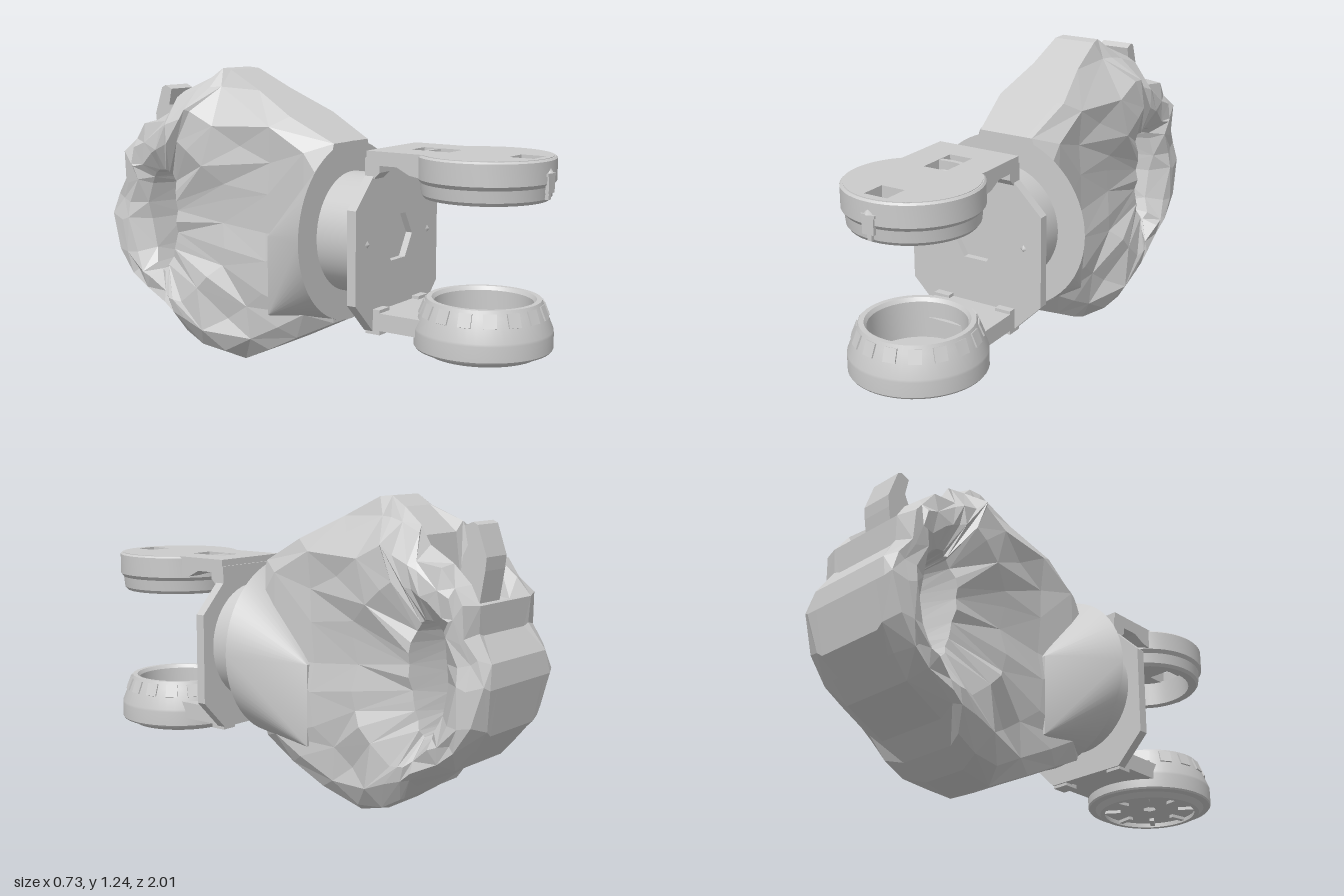
import * as THREE from 'three';
import { ConvexGeometry } from 'three/addons/geometries/ConvexGeometry.js';
import { toCreasedNormals } from 'three/addons/utils/BufferGeometryUtils.js';

const CY = 0.595; // height of the neck axis
const RZ = 0.7325; // z of the two round heads
const mat = new THREE.MeshStandardMaterial({ color: 0xcccccc, side: THREE.DoubleSide });
const flat = new THREE.MeshStandardMaterial({ color: 0xcccccc, flatShading: true });

function add(parent, name, geo, x = 0, y = 0, z = 0, material = mat) {
  const m = new THREE.Mesh(geo, material);
  m.name = name;
  m.position.set(x, y, z);
  parent.add(m);
  return m;
}
const box = (w, h, d) => new THREE.BoxGeometry(w, h, d);
const lathe = (pts, n = 48) =>
  toCreasedNormals(new THREE.LatheGeometry(pts.map(p => new THREE.Vector2(...p)), n), 0.4);
const poly = pts => pts.map(p => new THREE.Vector2(...p));
const hexPath = r => new THREE.Path(poly([0, 1, 2, 3, 4, 5].map(i =>
  [r * Math.cos((i * Math.PI) / 3), r * Math.sin((i * Math.PI) / 3)])));

// Faceted body: side outline and handle opening joined by rings, closed like a torus
function bodyGeometry() {
  let seed = 11;
  const rnd = () => ((seed = (seed * 16807) % 2147483647) / 2147483647) * 2 - 1;
  // z, y, crown half-width, depth of the cavity along the centre
  const outline = [
    [0.115, 0.96, 0.12, 0], [-0.08, 1.06, 0.15, 0], [-0.27, 1.155, 0.12, 0], [-0.43, 1.235, 0.095, 0],
    [-0.48, 1.24, 0.09, 0], [-0.54, 1.2, 0.1, 0], [-0.65, 1.14, 0.13, 0.04], [-0.69, 1.07, 0.14, 0.17],
    [-0.8, 1.01, 0.15, 0.14], [-0.88, 0.94, 0.16, 0.08], [-0.93, 0.87, 0.18, 0], [-0.925, 0.77, 0.18, 0.01],
    [-0.99, 0.67, 0.2, 0], [-1, 0.58, 0.21, 0], [-0.97, 0.42, 0.19, 0.02], [-0.9, 0.33, 0.17, 0],
    [-0.83, 0.25, 0.16, 0], [-0.66, 0.16, 0.15, 0], [-0.58, 0.09, 0.13, 0], [-0.49, 0.03, 0.11, 0],
    [-0.36, 0, 0.11, 0], [-0.2, 0.075, 0.14, 0], [-0.05, 0.15, 0.15, 0], [0.115, 0.23, 0.12, 0],
    [0.115, 0.4, 0.17, 0], [0.115, 0.59, 0.18, 0], [0.115, 0.78, 0.18, 0]
  ];
  const hz = -0.73, hy = 0.58;
  // Point on the opening's edge; it narrows toward its lower end
  const opening = (z, y, rz, ry) => {
    const a = Math.atan2(y - hy, z - hz);
    return [hy + ry * Math.sin(a), hz + rz * Math.cos(a) * (1 + 0.3 * Math.sin(a))];
  };
  const halfWidth = (y, z, t, crown) => {
    const back = THREE.MathUtils.smoothstep(-z, 0.36, 0.47);
    const full = 0.19 + back * 0.058;
    if (t === 1) return full - 0.05;
    return t < 0.2 ? Math.min(full, crown + (y > 1.05 ? 0.04 : 0.075)) : full;
  };
  const half = [0, 0.13, 0.38, 0.66, 1].map(t => outline.map(([z, y, crown]) => {
    const [ey, ez] = opening(z, y, 0.08, 0.225);
    const p = [crown, y + (ey - y) * t, z + (ez - z) * t];
    if (t > 0) p[0] = halfWidth(p[1], p[2], t, crown);
    if (p[2] < -0.12) p[0] += rnd() * 0.014;
    if (p[2] < -0.12 && t > 0 && t < 1) {
      p[1] += rnd() * 0.02;
      p[2] += rnd() * 0.015;
    }
    return p;
  }));
  const sunk = outline.map(([z, y, crown, dip]) => [crown * 0.8, y - dip, z + dip * 0.15]);
  const centreInner = outline.map(([z, y]) => [0, ...opening(z, y, 0.046, 0.21)]);
  const right = [sunk, ...half];
  const left = right.map(r => r.map(([x, y, z]) => [-x, y, z])).reverse();
  const rings = [...right, centreInner, ...left];
  const n = outline.length, pos = [];
  rings.forEach((ring, j) => {
    const next = rings[(j + 1) % rings.length];
    for (let i = 0; i < n; i++) {
      const k = (i + 1) % n;
      const [a, b, c, d] = [ring[i], next[i], next[k], ring[k]];
      if ((i + j) % 2) pos.push(...a, ...b, ...c, ...a, ...c, ...d);
      else pos.push(...a, ...b, ...d, ...b, ...c, ...d);
    }
  });
  const g = new THREE.BufferGeometry();
  g.setAttribute('position', new THREE.Float32BufferAttribute(pos, 3));
  g.computeVertexNormals();
  return g;
}

// Cone-like collar drawn back from a disc to an edge on each side of the body
function collarGeometry() {
  const pts = [];
  for (let i = 0; i < 64; i++) {
    const a = (i / 64) * Math.PI * 2;
    pts.push(new THREE.Vector3(0.367 * Math.cos(a), CY + 0.367 * Math.sin(a), 0.12));
  }
  for (const s of [-1, 1]) for (const y of [0.24, 0.57]) pts.push(new THREE.Vector3(s * 0.2, y, -0.16));
  return toCreasedNormals(new ConvexGeometry(pts), 0.4);
}

const rectHole = (w, z0, z1) => new THREE.Path(poly([[-w, -z0], [w, -z0], [w, -z1], [-w, -z1]]));

function upperHead() {
  const g = new THREE.Group();
  g.name = 'upperHead';
  // Round lid continuing into the arm, with two slots
  const lid = new THREE.Shape();
  const a = Math.asin(0.18 / 0.25);
  lid.moveTo(0.18, -0.31);
  lid.lineTo(-0.18, -0.31);
  lid.absarc(0, -RZ, 0.25, Math.PI / 2 + a, Math.PI * 2.5 - a, false);
  lid.closePath();
  lid.holes.push(rectHole(0.05, 0.43, 0.6), rectHole(0.05, 0.85, 0.95));
  const lidGeo = new THREE.ExtrudeGeometry(lid, { depth: 0.055, bevelEnabled: false, curveSegments: 40 });
  lidGeo.rotateX(-Math.PI / 2);
  add(g, 'lidAndArm', toCreasedNormals(lidGeo, 0.4), 0, 0.897, 0);
  add(g, 'upperRing', lathe([[0.235, 0.9], [0.235, 0.95], [0.255, 0.95], [0.262, 0.943], [0.262, 0.86],
    [0.25, 0.845], [0.245, 0.8], [0.235, 0.787], [0.2, 0.787], [0.2, 0.9]].reverse()), 0, 0, RZ);
  // Ramp inside the rear slot
  add(g, 'slotRamp', box(0.1, 0.01, 0.13), 0, 0.9, 0.53).rotation.x = 0.3;
  // Front latch
  add(g, 'latch', box(0.05, 0.07, 0.014), 0, 0.86, 0.993);
  add(g, 'latchCap', box(0.062, 0.012, 0.016), 0, 0.893, 0.992);
  add(g, 'latchTip', new THREE.ConeGeometry(0.022, 0.03, 6), 0, 0.914, 0.985);
  add(g, 'latchFoot', box(0.018, 0.03, 0.016), 0, 0.815, 0.985);
  // Wedges bracing the arm against the plate
  const wedge = new THREE.Shape(poly([[-0.31, 0.95], [-0.37, 0.95], [-0.37, 0.87], [-0.345, 0.845], [-0.31, 0.82]]));
  const wedgeGeo = new THREE.ExtrudeGeometry(wedge, { depth: 0.07, bevelEnabled: false }).rotateY(Math.PI / 2);
  for (const x of [-0.18, 0.11]) add(g, 'armWedge', wedgeGeo, x, 0, 0);
  // Ramp under the arm where it meets the ring
  const ramp = new THREE.Shape(poly([[-0.44, 0.9], [-0.56, 0.9], [-0.56, 0.86], [-0.5, 0.87]]));
  const rampGeo = new THREE.ExtrudeGeometry(ramp, { depth: 0.36, bevelEnabled: false }).rotateY(Math.PI / 2);
  add(g, 'armRamp', rampGeo, -0.18, 0, 0);
  return g;
}

function lowerHead() {
  const g = new THREE.Group();
  g.name = 'lowerHead';
  add(g, 'lowerRing', lathe([[0.19, 0.235], [0.19, 0.385], [0.2, 0.4], [0.22, 0.4], [0.232, 0.37], [0.266, 0.285],
    [0.267, 0.275], [0.267, 0.215], [0.262, 0.208], [0.235, 0.205], [0.215, 0.185], [0.195, 0.185],
    [0.195, 0.2]].reverse()), 0, 0, RZ);
  // Floor with a hexagonal hole
  const floor = new THREE.Shape();
  floor.absarc(0, 0, 0.2, 0, Math.PI * 2, false);
  floor.holes.push(hexPath(0.03));
  const fg = new THREE.ExtrudeGeometry(floor, { depth: 0.03, bevelEnabled: false, curveSegments: 40 });
  add(g, 'floor', fg.rotateX(-Math.PI / 2), 0, 0.205, RZ);
  // Raised lugs around the sloped rim, and ribs under the floor
  for (let i = 0; i < 16; i++) {
    const holder = new THREE.Group();
    holder.name = 'rimLug';
    holder.position.set(0, 0, RZ);
    holder.rotation.y = ((i + 0.5) / 16) * Math.PI * 2;
    add(holder, 'lug', box(0.05, 0.055, 0.012), 0, 0.362, 0.234).rotation.x = -0.38;
    if (i % 2) add(holder, 'underRib', box(0.02, 0.015, 0.07), 0, 0.199, 0.16);
    g.add(holder);
  }
  // Arm back to the mounting plate
  add(g, 'lowerArm', box(0.36, 0.07, 0.25), 0, 0.285, 0.435);
  for (const s of [-1, 1]) add(g, 'armBlock', box(0.07, 0.1, 0.065), s * 0.145, 0.283, 0.342);
  return g;
}

export function createModel() {
  const model = new THREE.Group();
  model.name = 'clampHead';

  add(model, 'rockyBody', bodyGeometry(), 0, 0, 0, flat);
  add(model, 'collar', collarGeometry());

  // Hooked tab standing in the rear cavity
  const tab = new THREE.Shape(poly([[-0.76, 0.85], [-0.785, 1.03], [-0.805, 1.07], [-0.79, 1.14], [-0.825, 1.155],
    [-0.845, 1.145], [-0.885, 1.03], [-0.88, 0.98], [-0.86, 0.86]]));
  const tabGeo = new THREE.ExtrudeGeometry(tab, { depth: 0.14, bevelEnabled: false });
  tabGeo.rotateY(-Math.PI / 2);
  add(model, 'rearTab', tabGeo, 0.07, 0, 0);

  // Neck and eight-sided mounting plate with a hexagonal recess
  const neck = new THREE.CylinderGeometry(0.245, 0.245, 0.2, 48).rotateX(Math.PI / 2);
  add(model, 'neck', neck, 0, CY, 0.215);
  const plate = new THREE.Shape(poly([[0.3, -0.23], [0.3, 0.14], [0.18, 0.26], [0.18, 0.33], [-0.18, 0.33],
    [-0.18, 0.26], [-0.3, 0.14], [-0.3, -0.23], [-0.18, -0.35], [0.18, -0.35]]));
  plate.holes.push(hexPath(0.104));
  add(model, 'mountingPlate', new THREE.ExtrudeGeometry(plate, { depth: 0.04, bevelEnabled: false }), 0, CY, 0.303);
  const stud = new THREE.ConeGeometry(0.016, 0.012, 4).rotateX(Math.PI / 2);
  for (const s of [-1, 1]) add(model, 'plateStud', stud, s * 0.222, CY, 0.348);

  model.add(upperHead(), lowerHead());
  return model;
}
